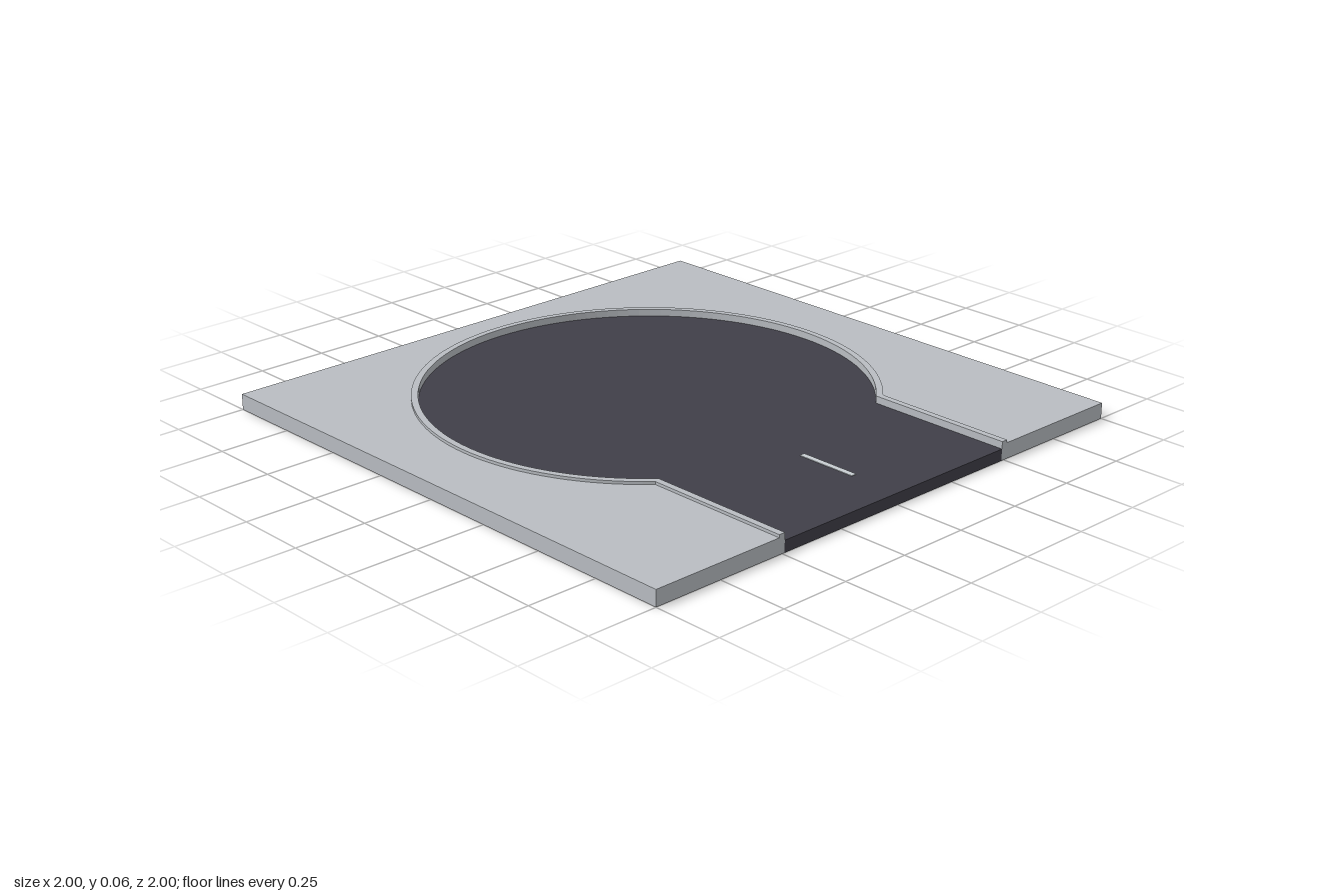
import * as THREE from 'three';

const CZ = -0.11; // centre of the turning circle

// Keyhole outline: a straight lane of half width w opening into a circle of radius r
function keyhole(w, r) {
  const a = Math.acos(w / r), n = 96, pts = [new THREE.Vector2(w, -1)];
  for (let i = 0; i <= n; i++) {
    const t = -a + (i / n) * (Math.PI + 2 * a);
    pts.push(new THREE.Vector2(r * Math.cos(t), -CZ + r * Math.sin(t)));
  }
  pts.push(new THREE.Vector2(-w, -1));
  return pts;
}

export function createModel() {
  const group = new THREE.Group();
  const pavement = new THREE.MeshStandardMaterial({ name: 'pavement grey', color: 0xb9bdc2 });
  const asphalt = new THREE.MeshStandardMaterial({ name: 'asphalt', color: 0x403f48 });
  const paint = new THREE.MeshStandardMaterial({ name: 'road paint', color: 0xc8ced2 });

  const slab = (name, points, height, material) => {
    const geo = new THREE.ExtrudeGeometry(new THREE.Shape(points), { depth: height, bevelEnabled: false });
    geo.rotateX(-Math.PI / 2);
    const mesh = new THREE.Mesh(geo, material);
    mesh.name = name;
    group.add(mesh);
  };

  const inner = keyhole(0.49, 0.757);
  const outer = keyhole(0.513, 0.78);
  const corners = [[-1, -1], [-1, 1], [1, 1], [1, -1]].map(([x, y]) => new THREE.Vector2(x, y));

  // Road surface, raised curb around it, and the surrounding ground
  slab('road', inner, 0.04, asphalt);
  slab('curb', [...outer, ...inner.slice().reverse()], 0.065, pavement);
  slab('sidewalk', [...outer, ...corners], 0.055, pavement);

  // Lane dash
  const dash = new THREE.Mesh(new THREE.BoxGeometry(0.02, 0.004, 0.22), paint);
  dash.name = 'laneDash';
  dash.position.set(0, 0.04, 0.71);
  group.add(dash);

  return group;
}
